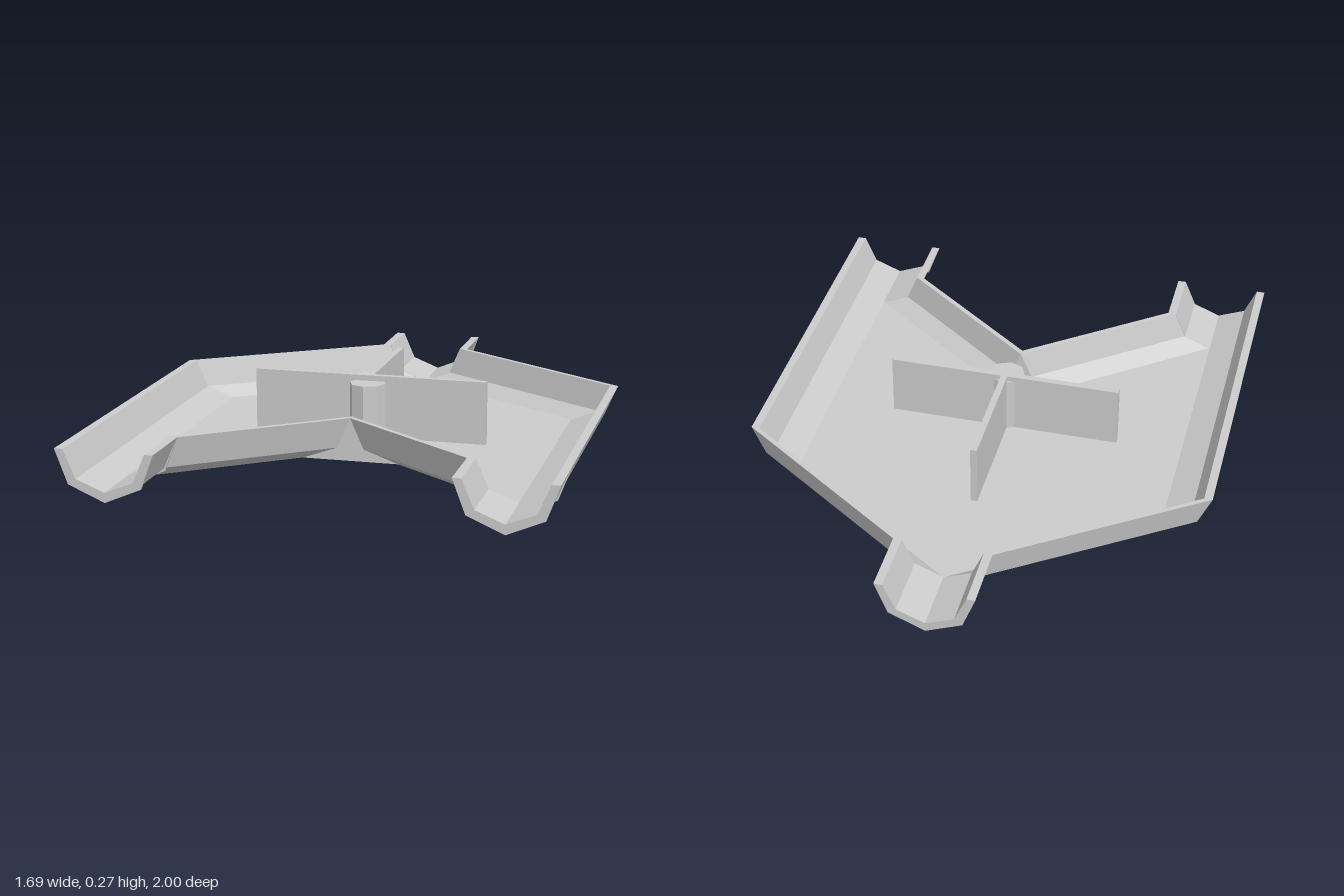
import * as THREE from 'three';

const material = new THREE.MeshStandardMaterial({ color: 0xcccccc, flatShading: true });

// Half section of the channel wall as [offset from centreline, height]:
// floor crease, inner foot, inner rim, outer rim, outer foot, underside crease
const SECTION = [[0, 0.035], [0.1, 0.075], [0.143, 0.175], [0.173, 0.175], [0.125, 0.065], [0, 0.02]];

const section = (x, z, side) => SECTION.map(([o, y]) => [x + side * o, y, z]);

// Collects flat polygons, each added with its mirror image across x = 0
class Faces {
  constructor() { this.data = []; }
  add(points) {
    for (const s of [1, -1]) {
      const p = points.map(([x, y, z]) => [s * x, y, z]);
      if (s < 0) p.reverse();
      // fan from the first given corner on both sides
      if (s < 0) p.unshift(p.pop());
      for (let i = 1; i < p.length - 1; i++) this.data.push(...p[0], ...p[i], ...p[i + 1]);
    }
  }
  strip(stations) {
    for (let j = 0; j < stations.length - 1; j++) {
      const a = stations[j], b = stations[j + 1];
      for (let i = 0; i < a.length - 1; i++) this.add([a[i], b[i], b[i + 1], a[i + 1]]);
    }
  }
  mesh(name) {
    const g = new THREE.BufferGeometry();
    g.setAttribute('position', new THREE.Float32BufferAttribute(this.data, 3));
    g.computeVertexNormals();
    const m = new THREE.Mesh(g, material);
    m.name = name;
    return m;
  }
}

function channelWalls() {
  const f = new Faces();
  // outer wall, back mouth to front mouth
  f.strip([[0, -1], [0, -0.77], [0.67, -0.31], [0.67, 0.77], [0.67, 1]].map(([x, z]) => section(x, z, 1)));
  // fork wall, front mouth to the blunted apex
  const apex = [[0, 0.035, 0.25], [0.043, 0.075, 0.361], [0, 0.175, 0.361],
    [0, 0.175, 0.385], [0.048, 0.065, 0.385], [0.173, 0.02, 0.385]];
  f.strip([section(0.67, 1, -1), section(0.67, 0.77, -1), apex]);
  // inside of the apex: slope, ledge and upright face
  const foot = [0, 0.075, 0.328], back = [0, 0.075, 0.361];
  f.add([apex[0], foot, apex[1]]);
  f.add([foot, back, apex[1]]);
  f.add([back, apex[2], apex[1]]);
  // outside of the apex: front face and underside
  const low = [0, 0.02, 0.385];
  f.add([low, apex[5], apex[4], apex[3]]);
  f.add([[0, 0.02, 0.25], apex[5], low]);
  return f.mesh('channelWalls');
}

function floor() {
  const f = new Faces();
  const plan = [[0, -0.77], [0, 0.25], [0.67, 0.77], [0.67, -0.31]];
  f.add(plan.map(([x, z]) => [x, 0.035, z]));
  f.add([plan[0], plan[3], plan[2], plan[1]].map(([x, z]) => [x, 0.02, z]));
  return f.mesh('floor');
}

// Thin raised collar around a channel mouth
function collar(x, z) {
  const half = [[0.173, 0.175], [0.128, 0.055], [0, 0]];
  const inner = SECTION.slice(0, 3);
  const mirror = ([a, b]) => [-a, b];
  const outline = [...half, mirror(half[1]), mirror(half[0]),
    mirror(inner[2]), mirror(inner[1]), ...inner];
  const shape = new THREE.Shape(outline.map(([a, b]) => new THREE.Vector2(a, b)));
  const g = new THREE.ExtrudeGeometry(shape, { depth: 0.008, bevelEnabled: false });
  const m = new THREE.Mesh(g, material);
  m.position.set(x, 0, z);
  m.name = 'mouthCollar';
  return m;
}

function plate(name, w, d, z) {
  const m = new THREE.Mesh(new THREE.BoxGeometry(w, 0.237, d), material);
  m.position.set(0, 0.1465, z);
  m.name = name;
  return m;
}

export function createModel() {
  const model = new THREE.Group();
  model.name = 'forkedChannel';
  model.add(channelWalls(), floor());

  // collars at both ends of each mouth
  for (const z of [-1, -0.776]) model.add(collar(0, z));
  for (const x of [-0.67, 0.67]) for (const z of [0.768, 0.992]) model.add(collar(x, z));

  // T-shaped divider turning on an octagonal post
  const divider = new THREE.Group();
  divider.name = 'divider';
  divider.add(plate('crossPlate', 0.856, 0.024, 0.105), plate('longPlate', 0.024, 0.45, -0.13));
  const post = new THREE.Mesh(new THREE.CylinderGeometry(0.066, 0.066, 0.217, 8), material);
  post.position.set(0, 0.1365, 0.143);
  post.name = 'pivotPost';
  divider.add(post);
  model.add(divider);
  return model;
}
